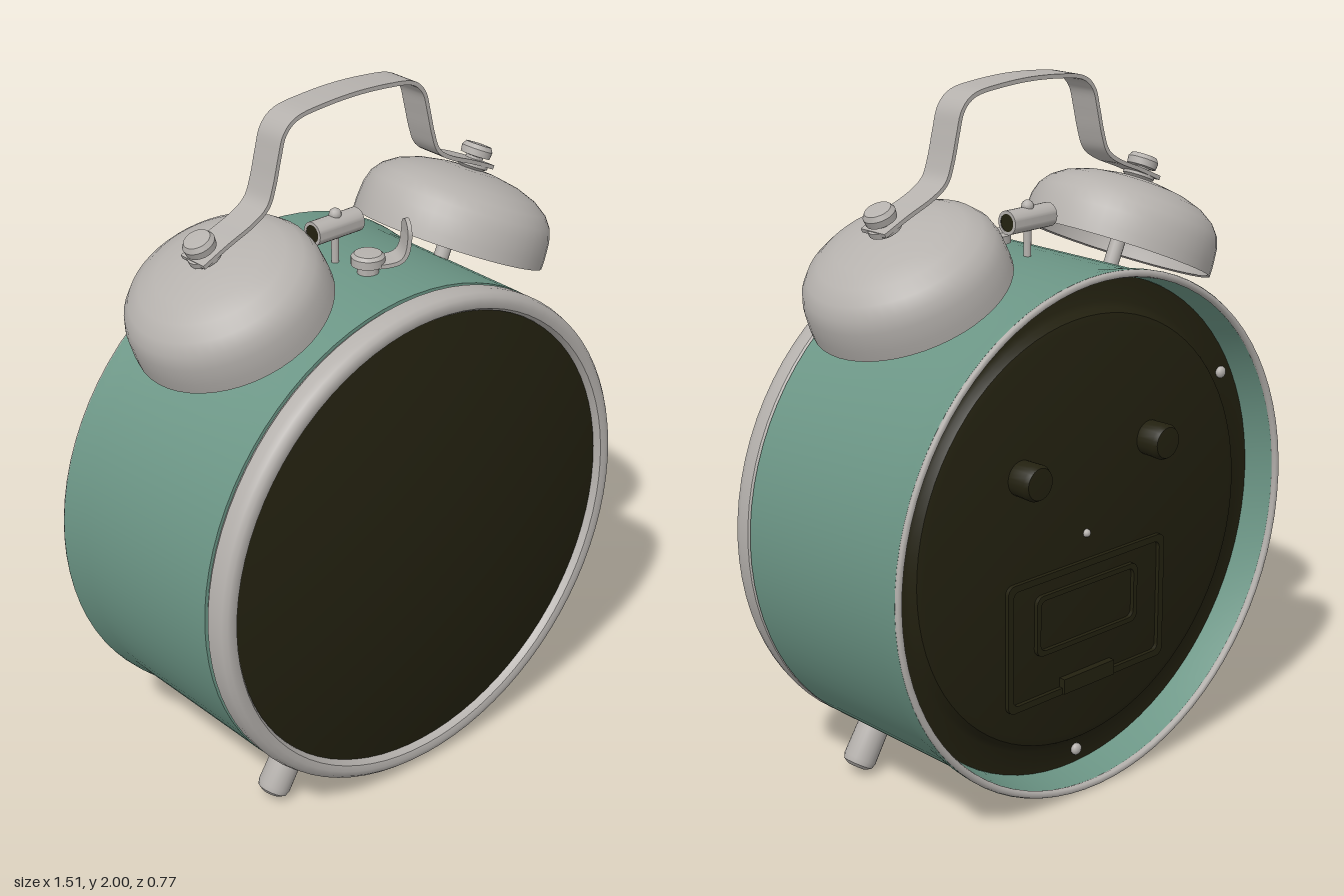
import * as THREE from 'three';
import { toCreasedNormals } from 'three/addons/utils/BufferGeometryUtils.js';

const CY = 0.757; // height of the case axis
const BELL_Z = -0.036;
const TILT = 0.426;

function material(name, color, side = THREE.FrontSide) {
  const m = new THREE.MeshStandardMaterial({ color, side });
  m.name = name;
  return m;
}

// Lathe from [radius, height] pairs, with crisp corners
function lathe(points, segments = 40) {
  const geo = new THREE.LatheGeometry(points.map(p => new THREE.Vector2(p[0], p[1])), segments);
  return toCreasedNormals(geo, 0.6);
}

// Flat strap: follows a curve in xy, with a thickness, extruded along z
function strap(curve, thickness, width, steps) {
  const upper = [], lower = [];
  for (let i = 0; i <= steps; i++) {
    const p = curve.getPoint(i / steps), t = curve.getTangent(i / steps);
    const n = new THREE.Vector2(-t.y, t.x).multiplyScalar(thickness / 2);
    upper.push(p.clone().add(n));
    lower.unshift(p.clone().sub(n));
  }
  const geo = new THREE.ExtrudeGeometry(new THREE.Shape([...upper, ...lower]), { depth: width, bevelEnabled: false });
  geo.translate(0, 0, -width / 2);
  return toCreasedNormals(geo, 0.6);
}

function roundedRect(Path, w, h, r) {
  const p = new Path(), x = w / 2, y = h / 2;
  p.absarc(x - r, y - r, r, 0, Math.PI / 2);
  p.absarc(-x + r, y - r, r, Math.PI / 2, Math.PI);
  p.absarc(-x + r, -y + r, r, Math.PI, Math.PI * 1.5);
  p.absarc(x - r, -y + r, r, Math.PI * 1.5, Math.PI * 2);
  p.closePath();
  return p;
}

function frame(w, h, border, depth) {
  const shape = roundedRect(THREE.Shape, w, h, 0.025);
  shape.holes.push(roundedRect(THREE.Path, w - 2 * border, h - 2 * border, 0.02));
  return new THREE.ExtrudeGeometry(shape, { depth, bevelEnabled: false, curveSegments: 4 });
}

export function createModel() {
  const model = new THREE.Group();
  model.name = 'alarmClock';
  const teal = material('teal', 0x6c9686);
  const silver = material('silver', 0xb5b1ad, THREE.DoubleSide);
  const dark = material('dark', 0x232110);

  const add = (name, geo, mat, x = 0, y = 0, z = 0, parent = model) => {
    const mesh = new THREE.Mesh(geo, mat);
    mesh.name = name;
    mesh.position.set(x, y, z);
    parent.add(mesh);
    return mesh;
  };
  const addRound = (name, points, mat) =>
    add(name, lathe(points, 80).rotateX(Math.PI / 2), mat, 0, CY, 0);

  // Case, front rim, glass and back
  addRound('case', [[0.72, 0.25], [0.72, -0.28], [0.735, -0.368], [0.754, -0.368],
    [0.752, -0.34], [0.742, -0.28], [0.74, 0.25], [0.72, 0.25]], teal);
  addRound('frontRim', [[0.68, 0.25], [0.73, 0.25], [0.739, 0.262], [0.74, 0.295], [0.735, 0.314],
    [0.724, 0.326], [0.708, 0.33], [0.692, 0.325], [0.683, 0.312], [0.68, 0.295], [0.68, 0.25]], silver);
  const dome = [];
  for (let i = 0; i <= 12; i++) {
    const r = 0.685 * (1 - i / 12);
    dome.push([r, 0.382 - 0.165 * r * r]);
  }
  addRound('glass', dome, dark);
  add('backEdge', new THREE.TorusGeometry(0.743, 0.011, 8, 80), silver, 0, CY, -0.367);
  addRound('backPlate', [[0, -0.31], [0.6, -0.31], [0.622, -0.303], [0.635, -0.285],
    [0.65, -0.275], [0.725, -0.27]], dark);

  // Back knobs, battery door and screws
  for (const s of [1, -1]) {
    const knob = lathe([[0.05, 0], [0.052, 0.06], [0.045, 0.073], [0, 0.075]], 24).rotateX(-Math.PI / 2);
    add('backKnob', knob, dark, s * 0.25, 0.98, -0.31);
  }
  add('batteryDoorFrame', frame(0.62, 0.38, 0.02, 0.014), dark, 0, 0.49, -0.322);
  add('batteryDoorPanel', frame(0.4, 0.18, 0.015, 0.014), dark, 0, 0.53, -0.322);
  add('batteryLatch', new THREE.BoxGeometry(0.2, 0.045, 0.03), dark, 0, 0.325, -0.315);
  const screwGeo = new THREE.SphereGeometry(0.018, 12, 8).scale(1, 1, 0.7);
  for (const a of [30, 150, 270]) {
    const t = a * Math.PI / 180;
    add('backScrew', screwGeo, silver, 0.675 * Math.cos(t), CY + 0.675 * Math.sin(t), -0.28);
  }
  add('centreScrew', new THREE.SphereGeometry(0.012, 12, 8), silver, 0, CY, -0.312);

  // Feet and bells, mirrored
  const footGeo = lathe([[0.046, 0], [0.048, 0.15], [0.043, 0.166], [0.028, 0.175], [0, 0.177]], 24);
  const bellGeo = lathe([[0.274, 0.004], [0.283, 0], [0.283, 0.03], [0.279, 0.08], [0.268, 0.115],
    [0.245, 0.145], [0.205, 0.172], [0.15, 0.192], [0.08, 0.205], [0, 0.21]], 48);
  const boltGeo = lathe([[0.02, 0.2], [0.046, 0.216], [0.046, 0.232], [0.025, 0.236], [0.025, 0.244],
    [0.043, 0.246], [0.045, 0.266], [0.037, 0.279], [0, 0.282]], 24);
  for (const s of [1, -1]) {
    const foot = add('foot', footGeo, silver, s * 0.364, CY - 0.583, 0.16);
    foot.rotation.z = -s * 2.583;

    const bell = new THREE.Group();
    bell.name = 'bell';
    bell.position.set(s * 0.39, 1.455, BELL_Z);
    bell.rotation.z = -s * TILT;
    model.add(bell);
    add('bellDome', bellGeo, silver, 0, 0, 0, bell);
    add('bellPost', new THREE.CylinderGeometry(0.022, 0.022, 0.31, 16), silver, 0, 0.05, 0, bell);
    add('bellBolt', boltGeo, silver, 0, 0, 0, bell);
  }

  // Carrying handle
  const half = [[0.52, 1.648], [0.44, 1.685], [0.355, 1.72], [0.305, 1.755], [0.282, 1.81],
    [0.264, 1.88], [0.245, 1.94], [0.2, 1.976], [0.11, 1.989]];
  const path = [...half.map(p => [-p[0], p[1]]), [0, 1.994], ...half.slice().reverse()];
  const handleCurve = new THREE.SplineCurve(path.map(p => new THREE.Vector2(p[0], p[1])));
  add('handle', strap(handleCurve, 0.012, 0.095, 80), silver, 0, 0, BELL_Z);

  // Hammer between the bells
  const head = lathe([[0.025, -0.08], [0.034, -0.08], [0.034, 0.08], [0.025, 0.08]], 24).rotateZ(Math.PI / 2);
  add('hammerHead', head, silver, -0.024, 1.603, -0.05);
  add('hammerCore', new THREE.CylinderGeometry(0.026, 0.026, 0.156, 20).rotateZ(Math.PI / 2), dark, -0.024, 1.603, -0.05);
  add('hammerArm', new THREE.CylinderGeometry(0.011, 0.011, 0.16, 12), silver, -0.022, 1.53, -0.05);
  add('hammerNut', new THREE.SphereGeometry(0.018, 12, 8), silver, -0.022, 1.638, -0.05);

  // Stop lever: round base with an upturned tab
  const lever = new THREE.Group();
  lever.name = 'stopLever';
  lever.position.set(0, 1.5, 0.06);
  lever.rotation.y = -0.49;
  model.add(lever);
  add('leverBase', lathe([[0.03, -0.02], [0.03, 0.018], [0.047, 0.022], [0.047, 0.045], [0.038, 0.054], [0, 0.056]], 24),
    silver, 0, 0, 0, lever);
  const tabCurve = new THREE.SplineCurve([[0, 0.025], [0.05, 0.025], [0.085, 0.034], [0.102, 0.06], [0.108, 0.105]]
    .map(p => new THREE.Vector2(p[0], p[1])));
  add('leverTab', strap(tabCurve, 0.012, 0.074, 16), silver, 0, 0, 0, lever);
  const tip = new THREE.CylinderGeometry(0.037, 0.037, 0.012, 24).rotateZ(Math.PI / 2);
  add('leverTip', tip, silver, 0.108, 0.106, 0, lever);

  return model;
}
